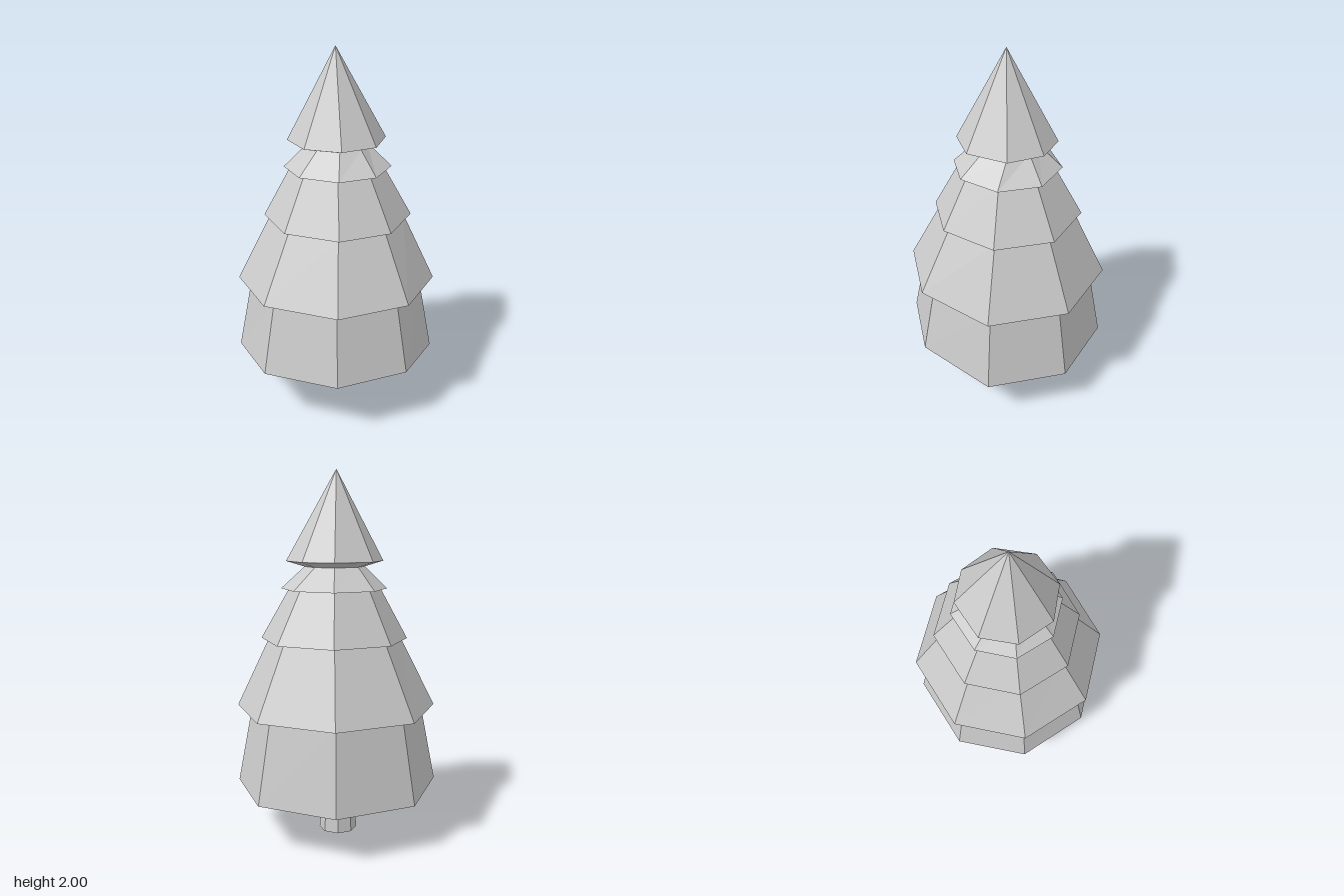
import * as THREE from 'three';

// Slightly uneven corner directions (degrees, from +x towards +z) and hem lift per corner
const ANGLES = [-101, -54, -7.5, 39, 85, 127, 171, 215];
const LIFT = [0, 0, 0, 0, 0.07, 0.07, 0.06, 0.02];
const TIP_TWIST = [-2, 0, -7, -10, -6, -4, -4, -2];

// Cross-sections downwards: [radius, height, x shift, share of lift, share of tip twist]
const TIERS = {
  tip: [[0, 2, 0, 0, 1], [0.265, 1.515, 0.01, 0, 1], [0.165, 1.485, 0.01, 0, 1]],
  upperTier: [[0.165, 1.485, 0.01, 0, 1], [0.29, 1.365, 0.015, 0, 0], [0.25, 1.365, 0.01, 0, 0]],
  middleTier: [[0.25, 1.365, 0.01, 0, 0], [0.403, 1.09, 0.015, 0, 0], [0.365, 1.09, 0.01, 0, 0]],
  lowerTier: [[0.365, 1.09, 0.01, 0, 0], [0.552, 0.705, 0.005, 0.4, 0], [0.475, 0.705, 0, 0.3, 0]],
  skirt: [[0.475, 0.705, 0, 0.3, 0], [0.56, 0.26, 0, 1, 0]],
  underside: [[0.56, 0.26, 0, 1, 0], [0.44, 0.37, 0, 0.3, 0], [0.31, 0.29, 0, 0, 0],
    [0.285, 0.235, 0, 0, 0], [0.09, 0.16, 0.01, 0, 0], [0, 0.16, 0.01, 0, 0]],
};

// Faceted skin through a stack of eight-cornered rings
function loft(rings) {
  const n = ANGLES.length;
  const positions = [];
  const index = [];
  rings.forEach(([r, y, cx, lift, twist], j) => {
    for (let k = 0; k < n; k++) {
      const a = THREE.MathUtils.degToRad(ANGLES[k] + TIP_TWIST[k] * twist);
      positions.push(cx * (r > 0 ? 1 : 0) + r * Math.cos(a), y + LIFT[k] * lift, r * Math.sin(a));
      if (j === 0) continue;
      const k2 = (k + 1) % n;
      const top = (j - 1) * n, low = j * n;
      if (rings[j - 1][0] > 0) index.push(top + k, top + k2, low + k2);
      if (r > 0) index.push(top + k, low + k2, low + k);
    }
  });
  const indexed = new THREE.BufferGeometry();
  indexed.setAttribute('position', new THREE.Float32BufferAttribute(positions, 3));
  indexed.setIndex(index);
  const geometry = indexed.toNonIndexed();
  geometry.computeVertexNormals();
  return geometry;
}

export function createModel() {
  const group = new THREE.Group();
  group.name = 'firTree';
  const material = new THREE.MeshStandardMaterial({ color: 0xcccccc, flatShading: true });

  // Foliage
  for (const [name, rings] of Object.entries(TIERS)) {
    const mesh = new THREE.Mesh(loft(rings), material);
    mesh.name = name;
    group.add(mesh);
  }

  // Trunk
  const trunk = new THREE.Mesh(new THREE.CylinderGeometry(0.09, 0.105, 0.2, 8), material);
  trunk.name = 'trunk';
  trunk.position.set(0.01, 0.1, -0.03);
  trunk.rotation.y = 0.15;
  group.add(trunk);

  return group;
}
